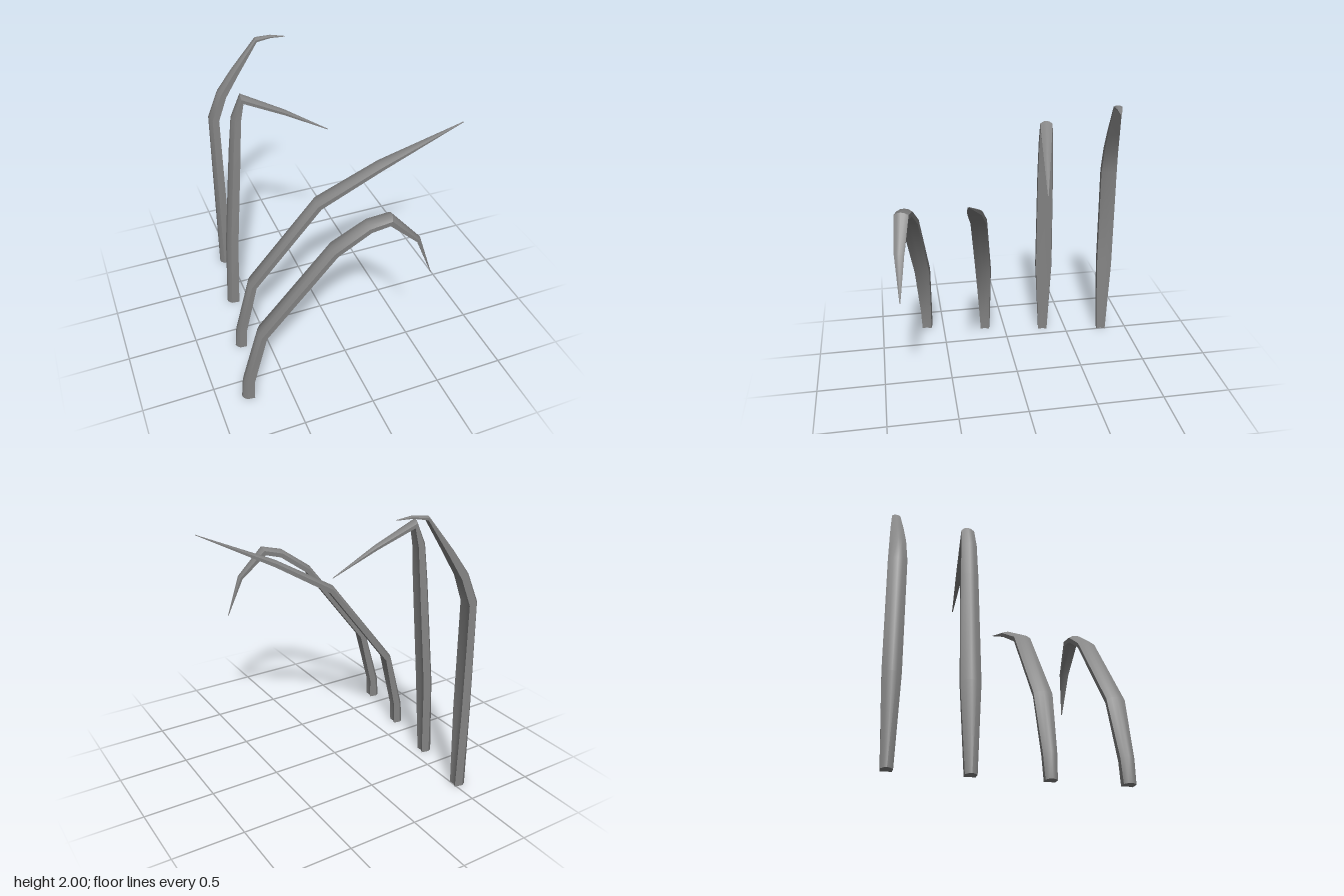
import * as THREE from 'three';
import { mergeGeometries, toCreasedNormals } from 'three/addons/utils/BufferGeometryUtils.js';

// Each blade: outer ridge stations [x, y, width, depth] in a vertical plane z = z0 + slope * x
const BLADES = [
  { name: 'droopingBlade', z0: 0.77, slope: 0.176, path: [
    [-0.83, 0, 0.08, 0.086], [-0.815, 0.17, 0.09, 0.076], [-0.695, 0.61, 0.125, 0.06], [-0.22, 1.25, 0.125, 0.054],
    [0, 1.41, 0.11, 0.054], [0.155, 1.448, 0.1, 0.06], [0.345, 1.235, 0.068, 0.028], [0.44, 0.93, 0.006, 0.004]] },
  { name: 'reachingBlade', z0: 0.278, slope: 0.176, path: [
    [-0.735, 0, 0.075, 0.08], [-0.72, 0.17, 0.09, 0.072], [-0.61, 0.61, 0.125, 0.056], [-0.14, 1.25, 0.12, 0.054],
    [0.28, 1.495, 0.1, 0.042], [0.825, 1.74, 0.006, 0.004]] },
  { name: 'foldedBlade', z0: -0.212, slope: 0.175, path: [
    [-0.66, 0, 0.075, 0.088], [-0.63, 0.6, 0.132, 0.085], [-0.555, 1.4, 0.118, 0.075], [-0.525, 1.66, 0.105, 0.065],
    [-0.455, 1.828, 0.09, 0.055], [-0.16, 1.675, 0.052, 0.027], [0.135, 1.49, 0.006, 0.004]] },
  { name: 'tallBlade', z0: -0.705, slope: 0.178, path: [
    [-0.585, 0, 0.075, 0.09], [-0.578, 0.6, 0.122, 0.085], [-0.567, 1.4, 0.125, 0.075], [-0.49, 1.6, 0.11, 0.068],
    [-0.375, 1.765, 0.092, 0.052], [-0.2, 1.99, 0.06, 0.024], [-0.09, 2.0, 0.037, 0.014], [0.01, 1.985, 0.006, 0.004]] },
];

// Section as [side, depth] strips, each shaded apart: rounded back, edge, grooved inside, edge
const STRIPS = [
  [[-0.5, 0.37], [-0.25, 0.09], [0, 0], [0.25, 0.09], [0.5, 0.37]],
  [[0.5, 0.37], [0.46, 1]],
  [[0.46, 1], [0, 0.88], [-0.46, 1]],
  [[-0.46, 1], [-0.5, 0.37]],
];

function surface(positions, index) {
  const geometry = new THREE.BufferGeometry();
  geometry.setAttribute('position', new THREE.Float32BufferAttribute(positions, 3));
  geometry.setIndex(index);
  return toCreasedNormals(geometry, 0.8);
}

function bladeGeometry({ path, z0, slope }) {
  const across = new THREE.Vector3(-slope, 0, 1).normalize();
  const pts = path.map(([x, y]) => new THREE.Vector2(x, y));

  // Path direction at each station, averaged over the bend
  const tangents = pts.map((p, i) => {
    if (i === 0) return new THREE.Vector2(0, 1);
    const before = p.clone().sub(pts[i - 1]).normalize();
    const after = i < pts.length - 1 ? pts[i + 1].clone().sub(p).normalize() : before;
    return before.clone().add(after).normalize();
  });

  const ring = (i, section) => section.flatMap(([side, d]) => {
    const [x, y, width, depth] = path[i];
    const px = x + tangents[i].y * depth * d;
    const py = y - tangents[i].x * depth * d;
    return [px + across.x * side * width, py, z0 + slope * px + across.z * side * width];
  });

  const parts = STRIPS.map((strip) => {
    const n = strip.length;
    const index = [];
    for (let i = 1; i < path.length; i++) {
      for (let j = 0; j < n - 1; j++) {
        const a = (i - 1) * n + j, b = a + 1;
        index.push(a, b, b + n, a, b + n, a + n);
      }
    }
    return surface(path.flatMap((_, i) => ring(i, strip)), index);
  });

  // Cut at the foot: a fan from the ridge
  const outline = [[0, 0], [0.25, 0.09], [0.5, 0.37], [0.46, 1], [0, 0.88], [-0.46, 1], [-0.5, 0.37], [-0.25, 0.09]];
  const fan = [];
  for (let j = 1; j < outline.length - 1; j++) fan.push(0, j + 1, j);
  parts.push(surface(ring(0, outline), fan));
  return mergeGeometries(parts);
}

export function createModel() {
  const group = new THREE.Group();
  group.name = 'grassBlades';
  const material = new THREE.MeshStandardMaterial({ color: 0x868686 });
  for (const blade of BLADES) {
    const mesh = new THREE.Mesh(bladeGeometry(blade), material);
    mesh.name = blade.name;
    group.add(mesh);
  }
  return group;
}
